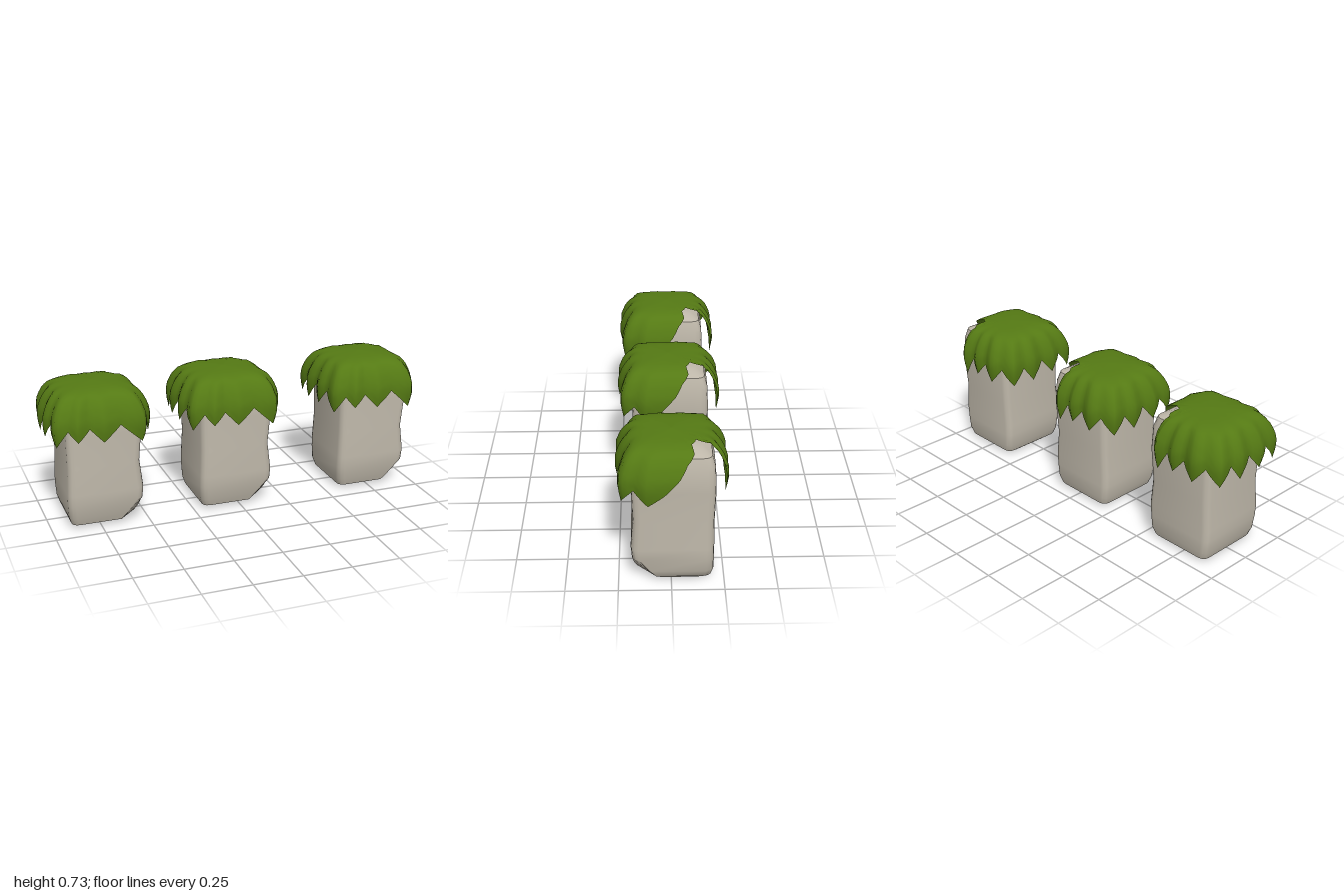
import * as THREE from 'three';
import { toCreasedNormals } from 'three/addons/utils/BufferGeometryUtils.js';

const stoneMat = new THREE.MeshStandardMaterial({ color: 0xbfb8aa, side: THREE.DoubleSide });
const mossMat = new THREE.MeshStandardMaterial({ color: 0x557a14, side: THREE.DoubleSide });

// Skin a list of equal, closed rings (running from +x towards +z)
function loft(rings, flip) {
  const n = rings[0].length, pos = rings.flat().flat(), index = [];
  for (let i = 0; i < rings.length - 1; i++) {
    for (let j = 0; j < n; j++) {
      const k = (j + 1) % n;
      const a = i * n + j, b = i * n + k, c = a + n, d = b + n;
      if (flip) index.push(a, c, b, b, c, d);
      else index.push(a, b, c, b, d, c);
    }
  }
  const geo = new THREE.BufferGeometry();
  geo.setAttribute('position', new THREE.Float32BufferAttribute(pos, 3));
  geo.setIndex(index);
  geo.computeVertexNormals();
  return geo;
}

// Stone block: rounded-rectangle sections, chipped at the front left foot
function stoneGeometry() {
  // y, x min, x max, z min, z max, size of the chip (0 = plain rounded corner)
  const sections = [
    [0, -0.145, 0.15, -0.155, 0.115, 0.07],
    [0.02, -0.172, 0.17, -0.19, 0.162, 0.09],
    [0.06, -0.185, 0.187, -0.2, 0.175, 0.075],
    [0.13, -0.19, 0.196, -0.2, 0.185, 0],
    [0.19, -0.19, 0.2, -0.2, 0.19, 0],
    [0.33, -0.182, 0.186, -0.2, 0.18, 0],
    [0.5, -0.185, 0.2, -0.205, 0.185, 0],
    [0.62, -0.18, 0.195, -0.2, 0.18, 0],
    [0.675, -0.165, 0.18, -0.185, 0.16, 0],
    [0.7, -0.12, 0.13, -0.14, 0.12, 0],
  ];
  const rings = sections.map(([y, x0, x1, z0, z1, chip]) => {
    const ring = [];
    [[1, 1], [-1, 1], [-1, -1], [1, -1]].forEach(([sx, sz], q) => {
      const c = q === 0 && chip ? chip : 0.035;
      const cx = (sx > 0 ? x1 : x0) - sx * c, cz = (sz > 0 ? z1 : z0) - sz * c;
      for (let s = 0; s < 4; s++) {
        const t = s / 3, a = (q + t) * Math.PI / 2;
        let dx = Math.cos(a), dz = Math.sin(a);
        if (q === 0 && chip) { dx = 1 - t; dz = t; }
        ring.push([cx + dx * c, y, cz + dz * c]);
      }
    });
    return ring;
  });
  // Close the bottom and the top
  const bottom = rings[0].map(() => [0, 0, -0.02]);
  const top = rings[0].map(() => [0, 0.705, -0.01]);
  return toCreasedNormals(loft([bottom, ...rings, top], true).toNonIndexed(), 0.6);
}

// Moss cap: one drape profile, cut off at a hem that zigzags into leaf tips
function mossGeometry() {
  // Distance from the middle (in block half-widths) and height, top to hem
  const drape = [[0, 0.728], [0.6, 0.722], [0.85, 0.71], [1.0, 0.69], [1.14, 0.65],
    [1.25, 0.59], [1.26, 0.53], [1.18, 0.44]];
  // Angle in degrees, hem height, tip (1) or notch (0)
  const hem = [
    [-17, 0.66, 0.5], [-8, 0.6, 0.5], [8, 0.52, 0.5], [24, 0.465, 1], [38, 0.535, 0],
    [51, 0.46, 1], [71, 0.56, 0], [91, 0.485, 1], [106, 0.555, 0], [117, 0.495, 1],
    [127, 0.55, 0], [138, 0.465, 1], [151, 0.56, 0], [165, 0.48, 1], [179, 0.56, 0],
    [195, 0.47, 1], [207, 0.55, 0], [219, 0.465, 1], [232, 0.55, 0], [245, 0.47, 1],
    [257, 0.55, 0], [270, 0.48, 1], [281, 0.55, 0], [292, 0.45, 1], [297, 0.6, 0.5],
    [300, 0.705, 0.5], [312, 0.722, 0.5], [326, 0.718, 0.5], [343, 0.66, 0.5],
  ];
  const columns = [], rows = 14, sub = 3;
  for (let i = 0; i < hem.length - 1; i++) {
    for (let s = 0; s < sub; s++) {
      columns.push(hem[i].map((v, k) => THREE.MathUtils.lerp(v, hem[i + 1][k], s / sub)));
    }
  }
  // Point on the drape profile at t = 0..7
  const at = (t) => {
    const i = Math.min(Math.floor(t), drape.length - 2);
    return [0, 1].map((k) => THREE.MathUtils.lerp(drape[i][k], drape[i + 1][k], t - i));
  };
  // Profile position at which a given height is reached
  const cut = (y) => {
    const i = Math.max(1, drape.findIndex((p) => p[1] <= y));
    return i - 1 + (drape[i - 1][1] - y) / (drape[i - 1][1] - drape[i][1]);
  };
  const rings = [];
  for (let r = 0; r <= rows; r++) {
    rings.push(columns.map(([deg, y, tip]) => {
      const a = deg * Math.PI / 180, c = Math.cos(a), s = Math.sin(a);
      const [k, h] = at(cut(y) * r / rows);
      const square = 0.2 / Math.pow(Math.abs(c) ** 4.5 + Math.abs(s) ** 4.5, 1 / 4.5);
      // Leaves bulge at their tips, more so towards the hem
      const fold = 1 + (tip - 0.5) * 0.09 * Math.min(1, k) ** 4;
      const rad = square * k * fold;
      return [c * rad * 1.02 - 0.008, h, s * rad - 0.003];
    }));
  }
  return loft(rings, false);
}

export function createModel() {
  const model = new THREE.Group();
  const stone = stoneGeometry(), moss = mossGeometry();
  [-0.725, -0.03, 0.75].forEach((x) => {
    const pillar = new THREE.Group();
    pillar.name = 'mossyPillar';
    const block = new THREE.Mesh(stone, stoneMat);
    block.name = 'stoneBlock';
    const cap = new THREE.Mesh(moss, mossMat);
    cap.name = 'mossCap';
    pillar.add(block, cap);
    pillar.position.x = x;
    model.add(pillar);
  });
  return model;
}
